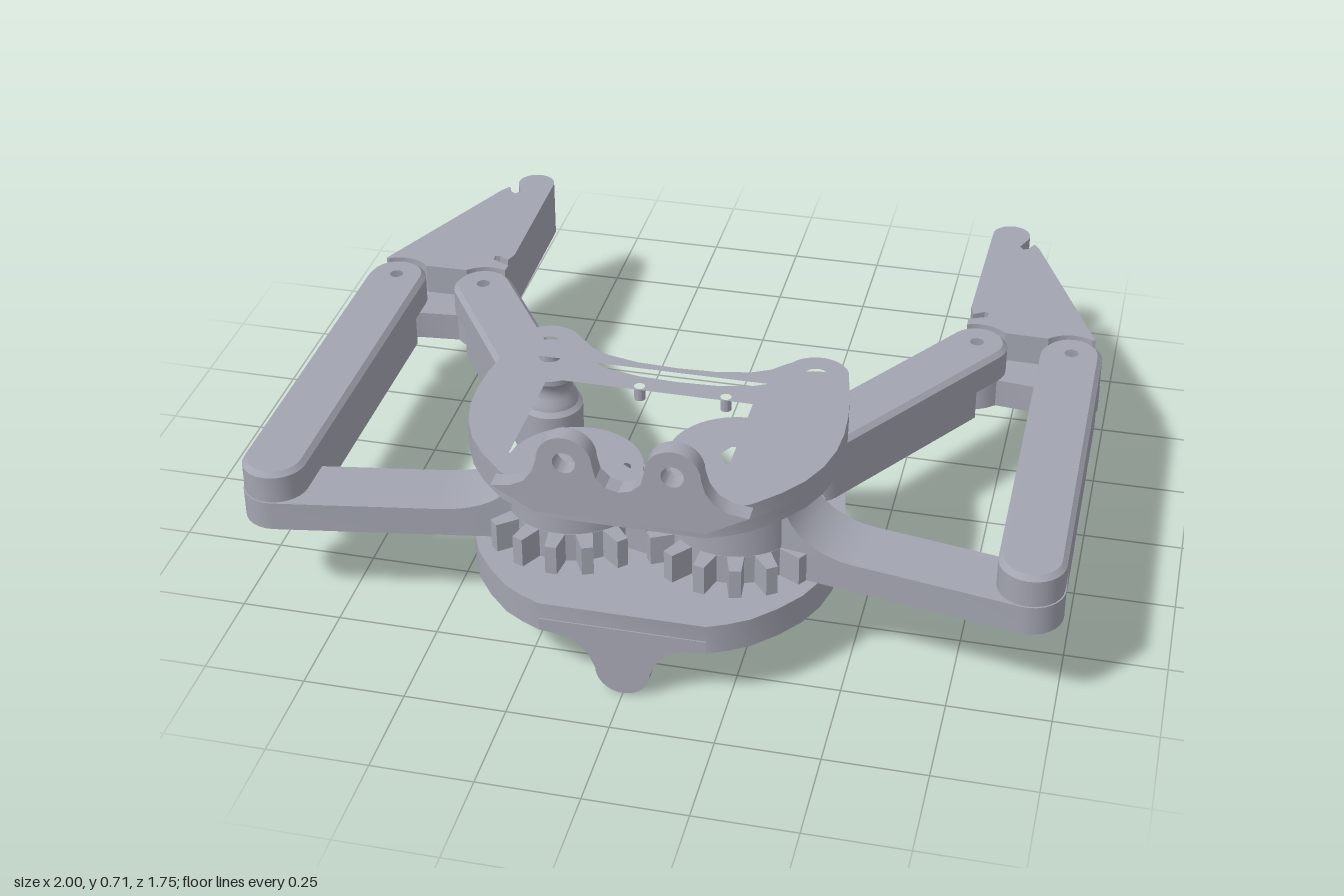
import * as THREE from 'three';
import { toCreasedNormals } from 'three/addons/utils/BufferGeometryUtils.js';

const grey = new THREE.MeshStandardMaterial({ color: 0xa2a4b0 });
grey.name = 'machined grey';

// Plan points are [x, z]; angles run from +x towards +z.
const arc = (cx, cz, r, a0, a1, n = 14) =>
  Array.from({ length: n + 1 }, (_, i) => {
    const a = a0 + ((a1 - a0) * i) / n;
    return [cx + r * Math.cos(a), cz + r * Math.sin(a)];
  });
const ring = (x, z, r, n = 24) => arc(x, z, r, 0, Math.PI * 2 * (1 - 1 / n), n - 1);
const rect = (x0, z0, x1, z1) => [[x0, z0], [x1, z0], [x1, z1], [x0, z1]];

function shapeOf(points, holes = [], flip = -1) {
  const toV = (p) => new THREE.Vector2(p[0], flip * p[1]);
  const shape = new THREE.Shape(points.map(toV));
  holes.forEach((h) => shape.holes.push(new THREE.Path(h.map(toV))));
  return shape;
}

// Extrusion along +z whose far edge alone is chamfered.
function extrude(shape, depth, bevel = 0) {
  const g = new THREE.ExtrudeGeometry(shape, {
    depth: depth - bevel, bevelEnabled: bevel > 0, bevelThickness: bevel,
    bevelSize: bevel, bevelOffset: -bevel, bevelSegments: bevel > 0.015 ? 4 : 1, curveSegments: 12,
  });
  const p = g.attributes.position;
  for (let i = 0; i < p.count; i++) p.setZ(i, Math.max(0, p.getZ(i)));
  return g;
}

function add(parent, name, geometry) {
  const mesh = new THREE.Mesh(toCreasedNormals(geometry, 0.5), grey);
  mesh.name = name;
  parent.add(mesh);
  return mesh;
}

// Horizontal slab between two heights.
function slab(parent, name, points, holes, y0, y1, bevel = 0) {
  const g = extrude(shapeOf(points, holes), y1 - y0, bevel);
  add(parent, name, g.rotateX(-Math.PI / 2).translate(0, y0, 0));
}

const LOW = 0.238, MID = 0.315, TOP = 0.397;

// Bar from a to b with half-height ends; roundStart keeps the start full height.
function link(parent, name, a, b, r, roundStart) {
  const group = new THREE.Group();
  group.name = name;
  parent.add(group);
  const t = Math.atan2(b[1] - a[1], b[0] - a[0]), h = Math.PI / 2;
  const startArc = arc(...a, r, t + h, t + 3 * h);
  const at = (p, along, side) => [
    p[0] + along * Math.cos(t) - side * Math.sin(t),
    p[1] + along * Math.sin(t) + side * Math.cos(t)];
  const endCut = [at(b, -0.085, -r), at(b, -0.085, r)];
  slab(group, 'linkTop', [...arc(...b, r, t - h, t + h), ...startArc],
    [ring(...a, 0.03), ring(...b, 0.03)], MID, TOP, 0.012);
  slab(group, 'linkBody',
    roundStart ? [...endCut, ...startArc] : [...endCut, at(a, 0.085, r), at(a, 0.085, -r)],
    roundStart ? [ring(...a, 0.03)] : [], LOW, MID);
}

// Outline shared by the two body plates.
function plateOutline() {
  const half = [
    [0, 0.305], [0.1, 0.3], [0.18, 0.283], [0.225, 0.26], [0.255, 0.228],
    ...arc(0.335, 0.26, 0.08, -2.6, -0.35, 12),
    [0.43, 0.33], [0.443, 0.42], [0.447, 0.5], [0.442, 0.57], [0.425, 0.64], [0.395, 0.705],
    [0.35, 0.765], [0.295, 0.82], [0.245, 0.85], [0.2, 0.87]];
  return [...half, ...half.slice(1).reverse().map(([x, z]) => [-x, z])];
}

function buildPlates(root) {
  const outline = plateOutline();
  const pivots = [-1, 1].map((s) => ring(s * 0.335, 0.26, 0.028));
  const screws = [];
  for (const x of [-0.085, 0.13]) for (const z of [0.343, 0.731]) screws.push(ring(x, z, 0.014, 12));
  slab(root, 'topPlate', outline, [...pivots, rect(-0.345, 0.325, 0.23, 0.745)], 0.52, 0.56);
  slab(root, 'topPlateLedge', outline, [...pivots, ...screws, rect(-0.313, 0.36, 0.2, 0.714)], 0.485, 0.52);
  const axles = [-1, 1].map((s) => ring(s * 0.2, 0.535, 0.027));
  slab(root, 'bottomPlate', outline, [...pivots, ...axles], 0.155, 0.233);

  // Twin upright ears on the front edge of the top plate
  const ear = [[0, 0.582], [0.03, 0.59], [0.052, 0.612],
    ...arc(0.125, 0.645, 0.065, Math.PI, 0, 16),
    [0.2, 0.61], [0.222, 0.58], [0.255, 0.563], [0.3, 0.557], [0.2, 0.5]];
  const ears = [...ear, ...ear.slice(1).reverse().map(([x, y]) => [-x, y])];
  // The arc helper walks upwards here because the points are [x, y].
  const earHoles = [-1, 1].map((s) => ring(s * 0.125, 0.643, 0.027));
  add(root, 'topEars', extrude(shapeOf(ears, earHoles, 1), 0.045).translate(0, 0, 0.829));

  // Single lug hanging below the bottom plate
  const side = [...arc(0, 0.069, 0.066, Math.PI / 2 * -1, 0, 8),
    [0.082, 0.105], [0.108, 0.135], [0.145, 0.152], [0.2, 0.158], [0.2, 0.19]];
  const lug = [...side, ...side.slice(1).reverse().map(([x, y]) => [-x, y])];
  const lugGeo = extrude(shapeOf(lug, [ring(0, 0.072, 0.027)], 1), 0.155, 0.022);
  add(root, 'bottomLug', lugGeo.rotateY(Math.PI).translate(0, 0, 0.873));
}

// Gear with hub and crank arm; s is the side.
function buildGear(root, s) {
  const group = new THREE.Group();
  group.name = s > 0 ? 'leftGearArm' : 'rightGearArm';
  root.add(group);
  const c = [s * 0.2, 0.535], end = [s * 0.918, 0.657], teeth = 16, step = (Math.PI * 2) / teeth;
  const rim = [];
  for (let i = 0; i < teeth; i++) {
    const a = (i + (s > 0 ? 0.5 : 0)) * step;
    for (const [k, r] of [[-0.31, 0.168], [-0.16, 0.225], [0.16, 0.225], [0.31, 0.168]])
      rim.push([c[0] + r * Math.cos(a + k * step), c[1] + r * Math.sin(a + k * step)]);
  }
  slab(group, 'gear', rim, [ring(...c, 0.027)], LOW, MID);

  const hubTop = s > 0 ? 0.485 : TOP;
  const holes = s > 0 ? [ring(c[0], c[1], 0.042, 6)] : [ring(...c, 0.027),
    ...[-1.75, -0.18, 1.39, 2.96].map((a) => ring(c[0] + 0.12 * Math.cos(a), c[1] + 0.12 * Math.sin(a), 0.017, 14))];
  slab(group, 'hub', ring(...c, 0.167, 48), holes, MID, hubTop);

  const t = Math.atan2(end[1] - c[1], end[0] - c[0]), h = Math.PI / 2, r = 0.082;
  const at = (u, w) => [c[0] + u * Math.cos(t) - w * Math.sin(t), c[1] + u * Math.sin(t) + w * Math.cos(t)];
  slab(group, 'crankArm', [...arc(...end, r, t - h, t + h), at(0.12, r), at(0.12, -r)],
    [ring(...end, 0.03)], LOW, MID - 0.001);

  // Concave web blending the hub into the arm
  const rise = (s > 0 ? 0.45 : TOP) - MID + 0.001, y0 = MID - 0.001;
  const curve = arc(0, 0, 1, -Math.PI / 2, -Math.PI, 10)
    .map(([x, y]) => [0.32 + 0.17 * x, y0 + rise * (1 + y)]);
  const web = extrude(shapeOf([[0.13, y0], ...curve, [0.13, y0 + rise]], [], 1), 2 * r);
  add(group, 'armWeb', web.translate(0, 0, -r).rotateY(-t).translate(c[0], 0, c[1]));
}

// Finger with a half-height tongue under the two link ends.
function buildFinger(root, s) {
  const group = new THREE.Group();
  group.name = s > 0 ? 'leftFinger' : 'rightFinger';
  root.add(group);
  const outer = [0.913, -0.24], inner = [0.668, -0.242];
  const tip = [...arc(0.687, -0.823, 0.051, -Math.PI, 0.25, 16),
    [0.718, -0.765], [0.728, -0.75], [0.742, -0.757], [0.755, -0.785], [0.772, -0.76]];
  const grip = [[0.63, -0.35], [0.678, -0.372], [0.68, -0.392], [0.668, -0.395], [0.64, -0.378], [0.63, -0.41]];
  const mirror = (pts) => pts.map(([x, z]) => [s * x, z]);
  slab(group, 'fingerTongue',
    mirror([...tip, ...arc(...outer, 0.08, -0.6, 1.75), [0.835, -0.187], [0.73, -0.197],
      ...arc(...inner, 0.075, 0.8, 3.7), ...grip]),
    [outer, inner].map((p) => mirror(ring(...p, 0.03))), LOW, MID);
  slab(group, 'fingerBody',
    mirror([...tip, [0.967, -0.317], ...arc(...outer, 0.088, -1.02, -2.41),
      ...arc(...inner, 0.088, -0.73, -2.0), ...grip]), [], MID, TOP);
}

export function createModel() {
  const root = new THREE.Group();
  root.name = 'gripper';
  buildPlates(root);
  for (const s of [-1, 1]) {
    const side = s > 0 ? 'left' : 'right';
    buildGear(root, s);
    buildFinger(root, s);
    link(root, side + 'OuterLink', [s * 0.918, 0.657], [s * 0.913, -0.24], 0.079, false);
    link(root, side + 'InnerLink', [s * 0.335, 0.26], [s * 0.668, -0.242], 0.079, true);

    // Waisted spacer between inner link and top plate
    const profile = [[0.028, TOP], [0.068, TOP], [0.066, 0.41], [0.056, 0.425], [0.053, 0.442],
      [0.056, 0.458], [0.065, 0.472], [0.065, 0.486], [0.028, 0.486], [0.028, TOP]];
    const spacer = new THREE.LatheGeometry(profile.map((p) => new THREE.Vector2(...p)), 32);
    add(root, side + 'Spacer', spacer.translate(s * 0.335, 0, 0.26));
  }
  return root;
}
